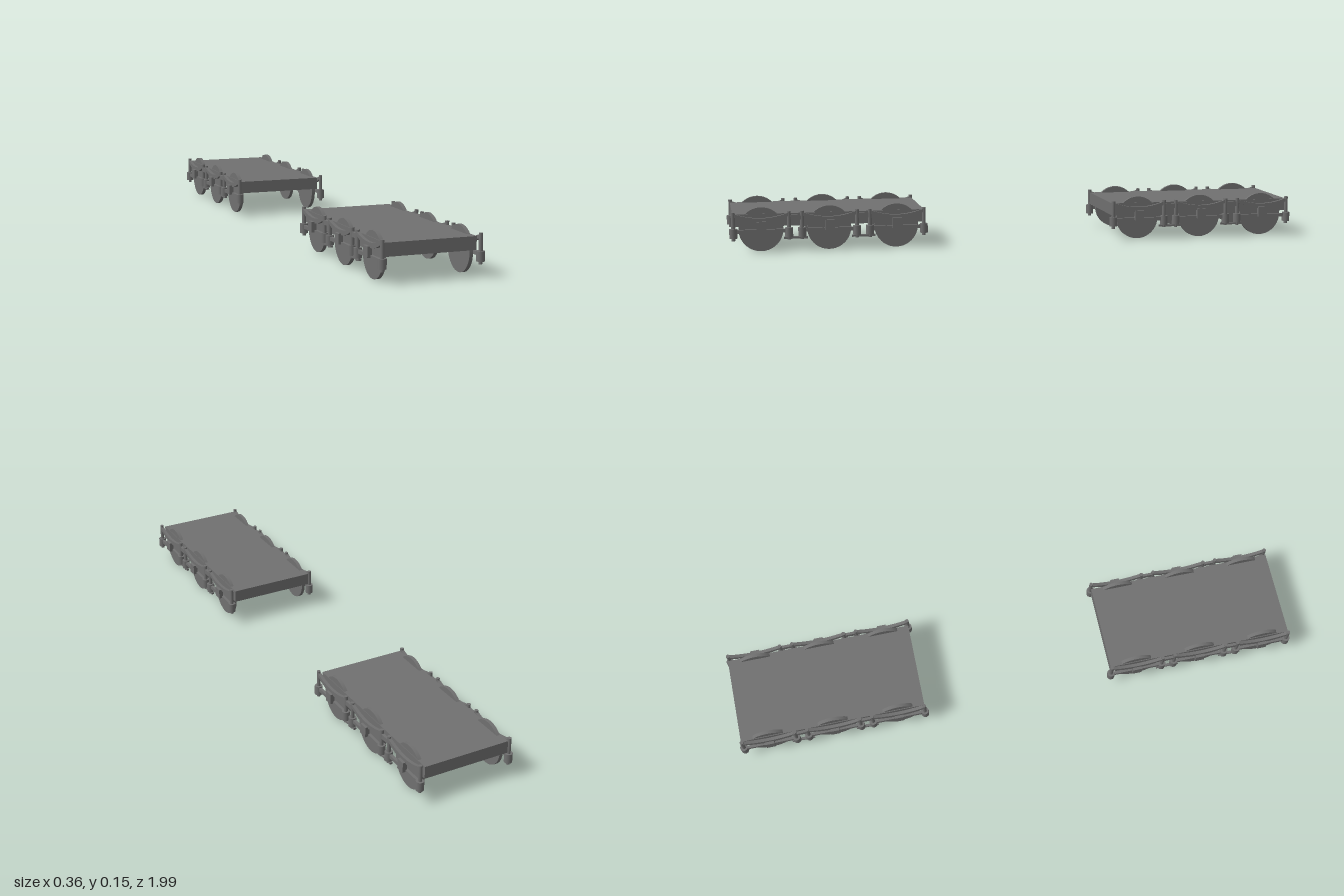
import * as THREE from 'three';

const darkGrey = new THREE.MeshStandardMaterial({ color: 0x707070 });

function add(parent, name, geometry, x, y, z) {
  const mesh = new THREE.Mesh(geometry, darkGrey);
  mesh.name = name;
  mesh.position.set(x, y, z);
  parent.add(mesh);
  return mesh;
}

// Sagging leaf spring, thicker in the middle, running along z
function springGeometry(half, width) {
  const s = new THREE.Shape();
  s.moveTo(-half, 0.133);
  s.quadraticCurveTo(0, 0.097, half, 0.133);
  s.lineTo(half, 0.122);
  s.quadraticCurveTo(0, 0.074, -half, 0.122);
  s.closePath();
  const g = new THREE.ExtrudeGeometry(s, { depth: width, bevelEnabled: false, curveSegments: 16 });
  g.translate(0, 0, -width / 2);
  g.rotateY(Math.PI / 2);
  return g;
}

const HALF = 0.093; // half the length of one wheel's suspension
const WHEELS = [0.234, 0.004, -0.226];

const wheelGeo = new THREE.CylinderGeometry(0.075, 0.075, 0.012, 40).rotateZ(Math.PI / 2);
const springGeo = springGeometry(HALF, 0.011);
const postGeo = new THREE.CylinderGeometry(0.0065, 0.0065, 0.06, 12);
const potGeo = new THREE.CylinderGeometry(0.0135, 0.0135, 0.032, 16);
const studGeo = new THREE.CylinderGeometry(0.006, 0.006, 0.012, 12);
const beamGeo = new THREE.BoxGeometry(0.01, 0.012, HALF * 2);
const axleBoxGeo = new THREE.BoxGeometry(0.016, 0.035, 0.032);
const upperLinkGeo = new THREE.BoxGeometry(0.009, 0.016, 0.046);
const lowerLinkGeo = new THREE.BoxGeometry(0.009, 0.007, 0.08);

// Leaf spring, hangers, spring pots and axle box of one wheel
function suspension(side, frameX) {
  const g = new THREE.Group();
  g.name = 'suspension';
  add(g, 'leafSpring', springGeo, frameX, 0, 0);
  add(g, 'lowerBeam', beamGeo, frameX, 0.071, 0);
  add(g, 'axleBox', axleBoxGeo, frameX + side * 0.007, 0.0865, 0);
  for (const end of [-1, 1]) {
    add(g, 'hangerPost', postGeo, frameX, 0.107, end * HALF);
    add(g, 'springPot', potGeo, frameX, 0.065, end * HALF);
    add(g, 'potStud', studGeo, frameX, 0.046, end * HALF);
  }
  return g;
}

function makeTruck() {
  const truck = new THREE.Group();
  truck.name = 'truck';
  add(truck, 'deck', new THREE.BoxGeometry(0.305, 0.043, 0.65), -0.0055, 0.1065, 0.0035);

  for (const side of [-1, 1]) {
    const wheelX = side * 0.1445 - 0.005;
    const frameX = side * 0.163 - 0.0015;
    for (const z of WHEELS) {
      add(truck, 'wheel', wheelGeo, wheelX, 0.075, z);
      const unit = suspension(side, frameX);
      unit.position.z = z;
      truck.add(unit);
    }
    // Links joining neighbouring suspension units
    for (let i = 0; i < 2; i++) {
      const z = (WHEELS[i] + WHEELS[i + 1]) / 2;
      add(truck, 'upperLink', upperLinkGeo, frameX, 0.116, z);
      add(truck, 'lowerLink', lowerLinkGeo, frameX, 0.046, z);
    }
  }
  return truck;
}

export function createModel() {
  const model = new THREE.Group();
  model.name = 'railTrucks';
  for (const z of [0.66, -0.662]) {
    const truck = makeTruck();
    truck.name = z > 0 ? 'frontTruck' : 'rearTruck';
    truck.position.z = z;
    model.add(truck);
  }
  return model;
}
